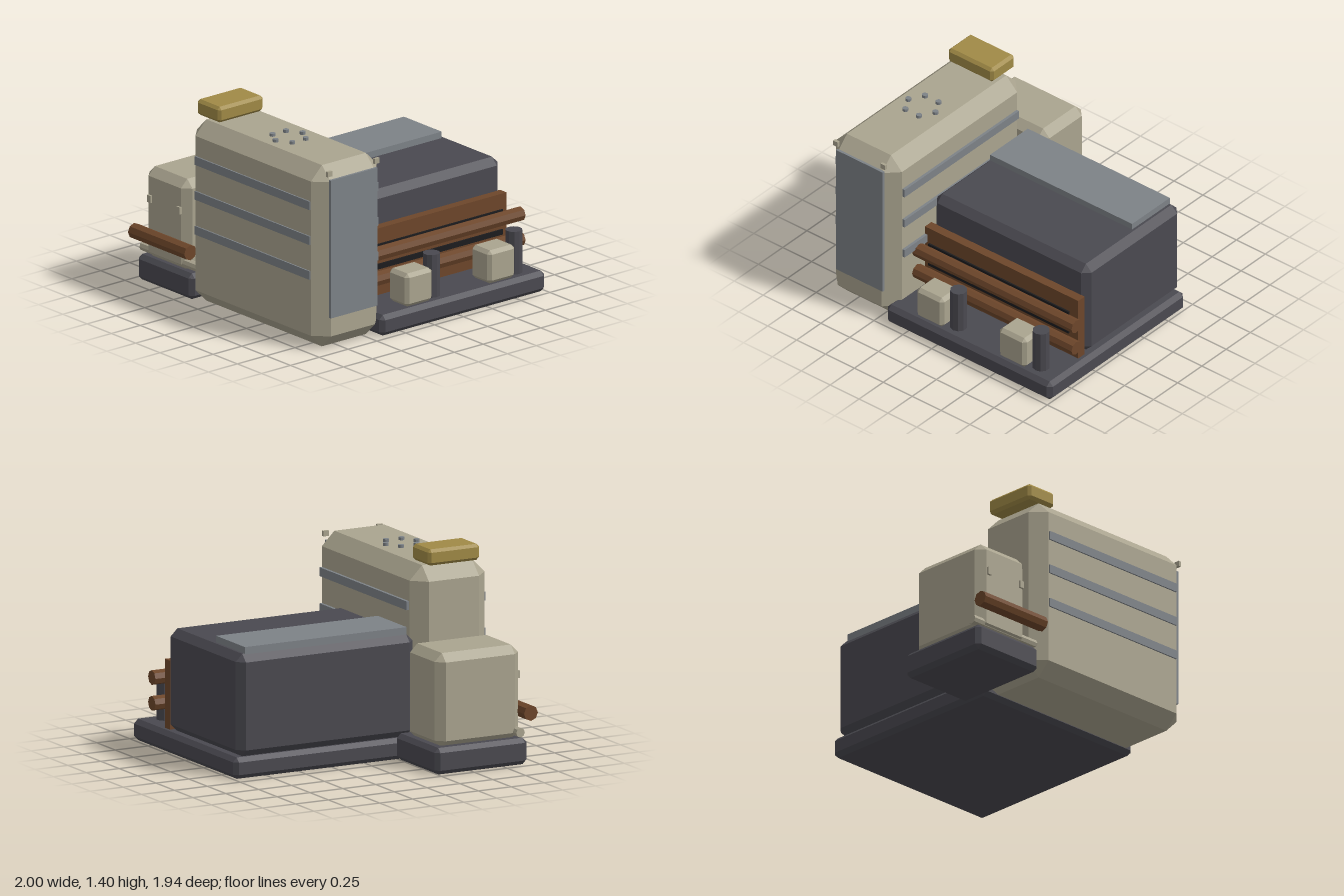
import * as THREE from 'three';
import { ConvexGeometry } from 'three/addons/geometries/ConvexGeometry.js';

const mat = (name, color) => {
  const m = new THREE.MeshStandardMaterial({ color });
  m.name = name;
  return m;
};

// Box given by its extents, with all edges cut at 45 degrees by c
function chamferBox([x0, x1], [y0, y1], [z0, z1], c) {
  const h = [(x1 - x0) / 2, (y1 - y0) / 2, (z1 - z0) / 2];
  const points = [];
  for (const sx of [-1, 1]) for (const sy of [-1, 1]) for (const sz of [-1, 1])
    for (let full = 0; full < 3; full++) {
      const [x, y, z] = h.map((v, i) => (i === full ? v : v - c));
      points.push(new THREE.Vector3(sx * x, sy * y, sz * z));
    }
  return new ConvexGeometry(points).translate((x0 + x1) / 2, (y0 + y1) / 2, (z0 + z1) / 2);
}

// Plain box given by its extents
function box([x0, x1], [y0, y1], [z0, z1]) {
  return new THREE.BoxGeometry(x1 - x0, y1 - y0, z1 - z0)
    .translate((x0 + x1) / 2, (y0 + y1) / 2, (z0 + z1) / 2);
}

// Faceted rod of radius r along an axis
function rod(axis, r, length, sides, x, y, z) {
  const g = new THREE.CylinderGeometry(r, r, length, sides).toNonIndexed();
  g.computeVertexNormals();
  if (axis === 'x') g.rotateZ(Math.PI / 2);
  if (axis === 'z') g.rotateX(Math.PI / 2);
  return g.translate(x, y, z);
}

export function createModel() {
  const model = new THREE.Group();
  model.name = 'machine';
  const dark = mat('charcoal', 0x4a4950);
  const beige = mat('beige', 0xaaa48f);
  const grey = mat('steelGrey', 0x7d8287);
  const brown = mat('brown', 0x6d462a);
  const gold = mat('gold', 0xa08a46);
  const black = mat('black', 0x1c1c1e);
  const add = (name, geometry, material) => {
    const mesh = new THREE.Mesh(geometry, material);
    mesh.name = name;
    model.add(mesh);
  };

  // Base slabs
  add('mainBase', chamferBox([-0.43, 1], [0, 0.145], [-0.43, 0.97], 0.03), dark);
  add('rearBase', chamferBox([-0.93, -0.23], [0, 0.18], [-0.97, -0.4], 0.03), dark);

  // Tower with front panel, side bands, corner studs and top buttons
  add('tower', chamferBox([-0.95, -0.38], [0.005, 1.28], [-0.43, 0.95], 0.095), beige);
  add('towerFrontPanel', box([-0.865, -0.46], [0.23, 1.2], [0.94, 0.958]), grey);
  for (const y of [0.525, 0.77, 1.015])
    add('towerBand', box([-0.96, -0.36], [y - 0.03, y + 0.03], [-0.33, 0.85]), grey);
  for (const x of [-0.87, -0.46])
    add('towerStud', box([x - 0.02, x + 0.02], [1.228, 1.265], [0.937, 0.957]), beige);
  for (let i = 0; i < 6; i++) {
    const a = (i * Math.PI) / 3;
    add('towerButton', rod('y', 0.02, 0.03, 10,
      -0.672 + 0.117 * Math.cos(a), 1.285, 0.3 + 0.117 * Math.sin(a)), grey);
  }
  add('towerCap', chamferBox([-0.865, -0.475], [1.29, 1.4], [-0.43, -0.19], 0.02), gold);

  // Main housing with its roof plate
  add('housing', chamferBox([-0.377, 0.967], [0.142, 0.84], [-0.43, 0.552], 0.05), dark);
  add('roofPlate', box([-0.33, 0.9], [0.82, 0.885], [-0.385, 0.005]), grey);

  // Front board, vent slats and pipes
  add('frontBoard', box([-0.385, 0.947], [0.145, 0.613], [0.55, 0.617]), brown);
  for (let i = 0; i < 4; i++) {
    const y = 0.287 + i * 0.07;
    add('ventSlat', box([-0.325, 0.89], [y - 0.018, y + 0.018], [0.638, 0.65]), black);
  }
  for (const y of [0.3, 0.475])
    add('frontPipe', rod('x', 0.05, 1.4, 8, 0.3, y, 0.7), brown);

  // Two feed boxes, each with a post beside it
  for (const x of [-0.075, 0.64]) {
    add('feedBox', chamferBox([x - 0.117, x + 0.117], [0.145, 0.377], [0.745, 0.942], 0.025), beige);
    add('post', rod('y', 0.058, 0.3, 10, x + 0.178, 0.295, 0.845), dark);
  }

  // Rear cabinet with hinges and side pipes
  add('rearCabinet', chamferBox([-0.905, -0.27], [0.16, 0.805], [-0.925, -0.482], 0.055), beige);
  for (const z of [-0.85, -0.55])
    add('cabinetHinge', box([-0.92, -0.895], [0.57, 0.62], [z - 0.017, z + 0.017]), beige);
  add('sidePipe', rod('z', 0.053, 0.58, 8, -0.947, 0.347, -0.68), brown);
  add('smallSidePipe', rod('z', 0.033, 0.58, 8, -0.868, 0.222, -0.68), beige);

  return model;
}
